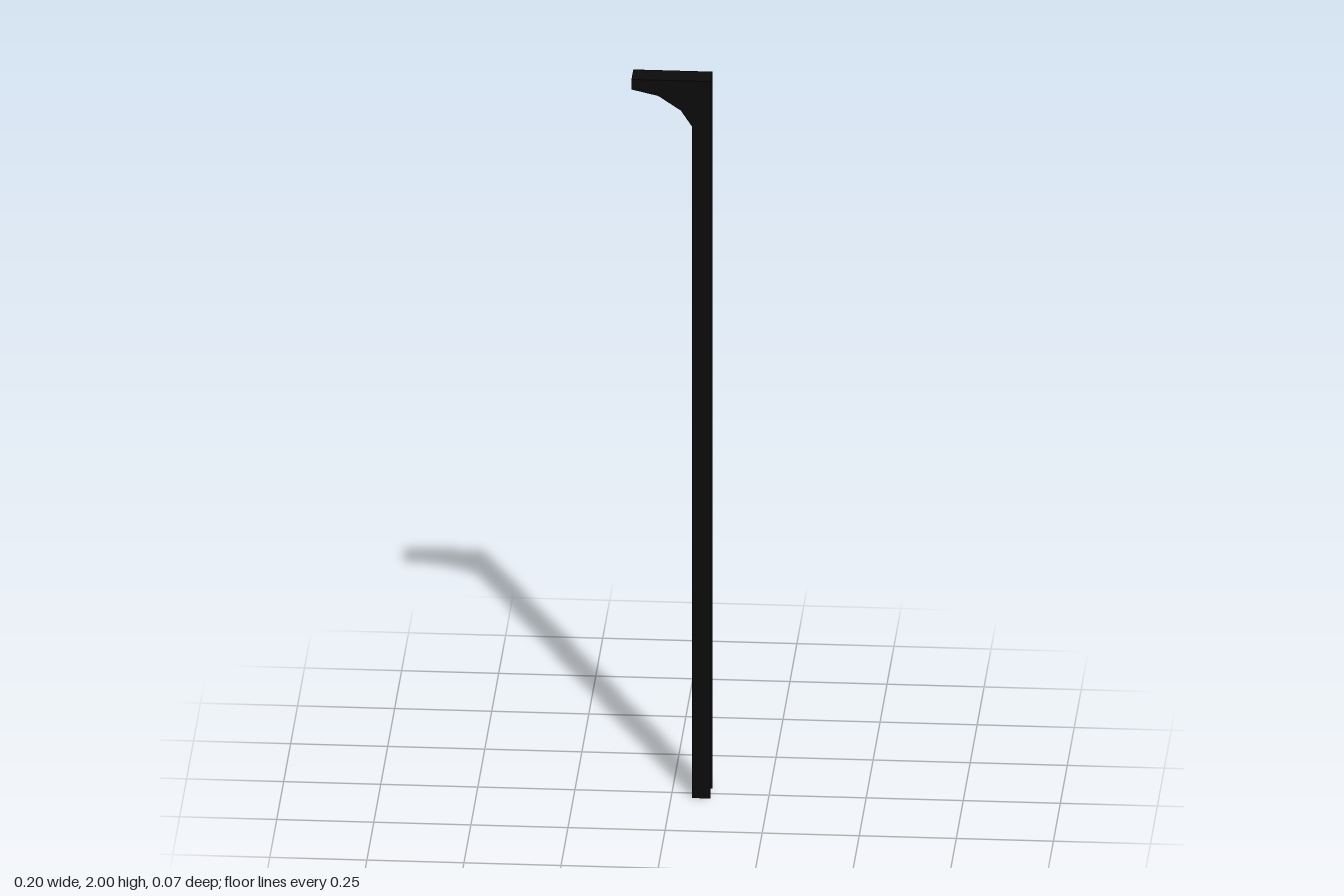
import * as THREE from 'three';

const HALF_DEPTH = 0.033;

// Outer edge: up the inside of the post, round the bracket, along the top
const edge = [
  [0.054, 0], [0.054, 1.873], [0.025, 1.917], [-0.033, 1.956],
  [-0.102, 1.972], [-0.102, 2], [0.102, 2],
];

// Ribbon of flat quads along the edge, spanning the depth
function ribbon(path, d) {
  const pos = [];
  for (let i = 0; i < path.length - 1; i++) {
    const [ax, ay] = path[i], [bx, by] = path[i + 1];
    pos.push(ax, ay, -d, ax, ay, d, bx, by, d);
    pos.push(ax, ay, -d, bx, by, d, bx, by, -d);
  }
  const g = new THREE.BufferGeometry();
  g.setAttribute('position', new THREE.Float32BufferAttribute(pos, 3));
  g.computeVertexNormals();
  return g;
}

export function createModel() {
  const group = new THREE.Group();
  group.name = 'bracketPost';
  const black = new THREE.MeshStandardMaterial({ color: 0x0b0b0b, side: THREE.DoubleSide });
  black.name = 'black';

  const add = (name, geometry) => {
    const mesh = new THREE.Mesh(geometry, black);
    mesh.name = name;
    group.add(mesh);
    return mesh;
  };

  // Front and back plates; the outer side (+x) and the foot stay open
  const outline = new THREE.Shape([...edge, [0.102, 0]].map(([x, y]) => new THREE.Vector2(x, y)));
  add('frontPlate', new THREE.ShapeGeometry(outline)).position.z = HALF_DEPTH;

  const back = new THREE.ShapeGeometry(outline);
  const index = back.index.array;
  for (let i = 0; i < index.length; i += 3) {
    [index[i], index[i + 1]] = [index[i + 1], index[i]];
  }
  back.computeVertexNormals();
  add('backPlate', back).position.z = -HALF_DEPTH;

  // Inner side of the post, curved underside, arm tip and top
  add('edgeStrip', ribbon(edge, HALF_DEPTH));

  return group;
}
